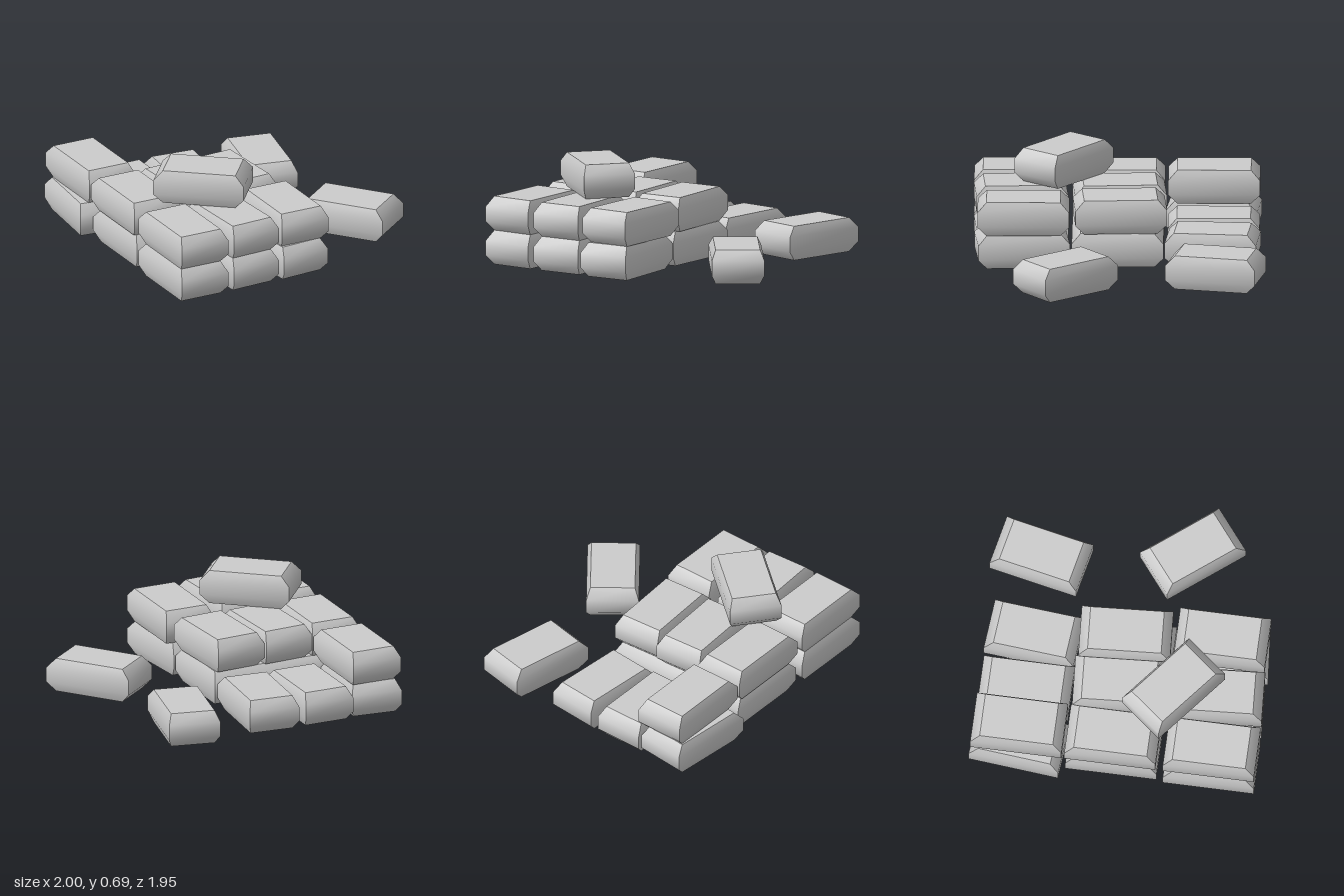
import * as THREE from 'three';
import { mergeGeometries } from 'three/addons/utils/BufferGeometryUtils.js';

const HEIGHT = 0.23, LENGTH = 0.61, WIDTH = 0.35;

// Chamfered block: four rectangular rings, each wall smooth from bottom to top.
function blockGeometry(width) {
  const rings = [[0, 1], [0.065, 0], [0.165, 0], [HEIGHT, 1]].map(([y, inset]) => {
    const x = width / 2 - 0.027 * inset, z = LENGTH / 2 - 0.06 * inset;
    return [[-x, y, z], [x, y, z], [x, y, -z], [-x, y, -z]];
  });
  const patch = (points, index) => {
    const g = new THREE.BufferGeometry();
    g.setAttribute('position', new THREE.Float32BufferAttribute(points.flat(), 3));
    g.setIndex(index);
    g.computeVertexNormals();
    return g;
  };
  const parts = [
    patch(rings[3], [0, 1, 2, 0, 2, 3]),
    patch(rings[0], [0, 2, 1, 0, 3, 2]),
  ];
  for (let s = 0; s < 4; s++) {
    const points = [], index = [];
    rings.forEach((r) => points.push(r[s], r[(s + 1) % 4]));
    for (let i = 0; i < 3; i++) {
      const a = i * 2;
      index.push(a, a + 1, a + 3, a, a + 3, a + 2);
    }
    parts.push(patch(points, index));
  }
  return mergeGeometries(parts);
}

export function createModel() {
  const model = new THREE.Group();
  model.name = 'brickPile';
  const material = new THREE.MeshStandardMaterial({ color: 0xcccccc });
  const brick = blockGeometry(WIDTH);

  const place = (name, geometry, x, layer, z, degrees) => {
    const mesh = new THREE.Mesh(geometry, material);
    mesh.name = name;
    mesh.position.set(x, layer * HEIGHT, z);
    mesh.rotation.y = THREE.MathUtils.degToRad(degrees);
    model.add(mesh);
  };

  // Each entry: x, z, turn in degrees
  const layers = {
    bottomBrick: [0, [
      [-0.765, 0.665, 0], [-0.39, 0.655, 3.5], [-0.017, 0.645, 5],
      [-0.797, -0.62, -5.5], [-0.415, -0.625, 0], [-0.04, -0.62, -5],
    ]],
    middleBrick: [1, [
      [-0.765, 0.665, 0], [-0.39, 0.655, 3.5], [0.008, 0.635, 0],
      [-0.765, 0.005, 0], [-0.4, 0, 3.5], [-0.045, -0.005, 3.5],
      [-0.765, -0.625, 0],
    ]],
    topBrick: [2, [[-0.455, 0.37, 51]]],
    looseBrick: [0, [[0.67, 0.35, 38.3], [0.52, -0.645, -11.9]]],
  };
  for (const [name, [layer, spots]] of Object.entries(layers)) {
    spots.forEach(([x, z, turn], i) => place(name + (i + 1), brick, x, layer, z, turn));
  }

  // Wide block under the middle row
  place('wideBlock', blockGeometry(WIDTH * 3), -0.4, 0, 0.01, 0);

  return model;
}
